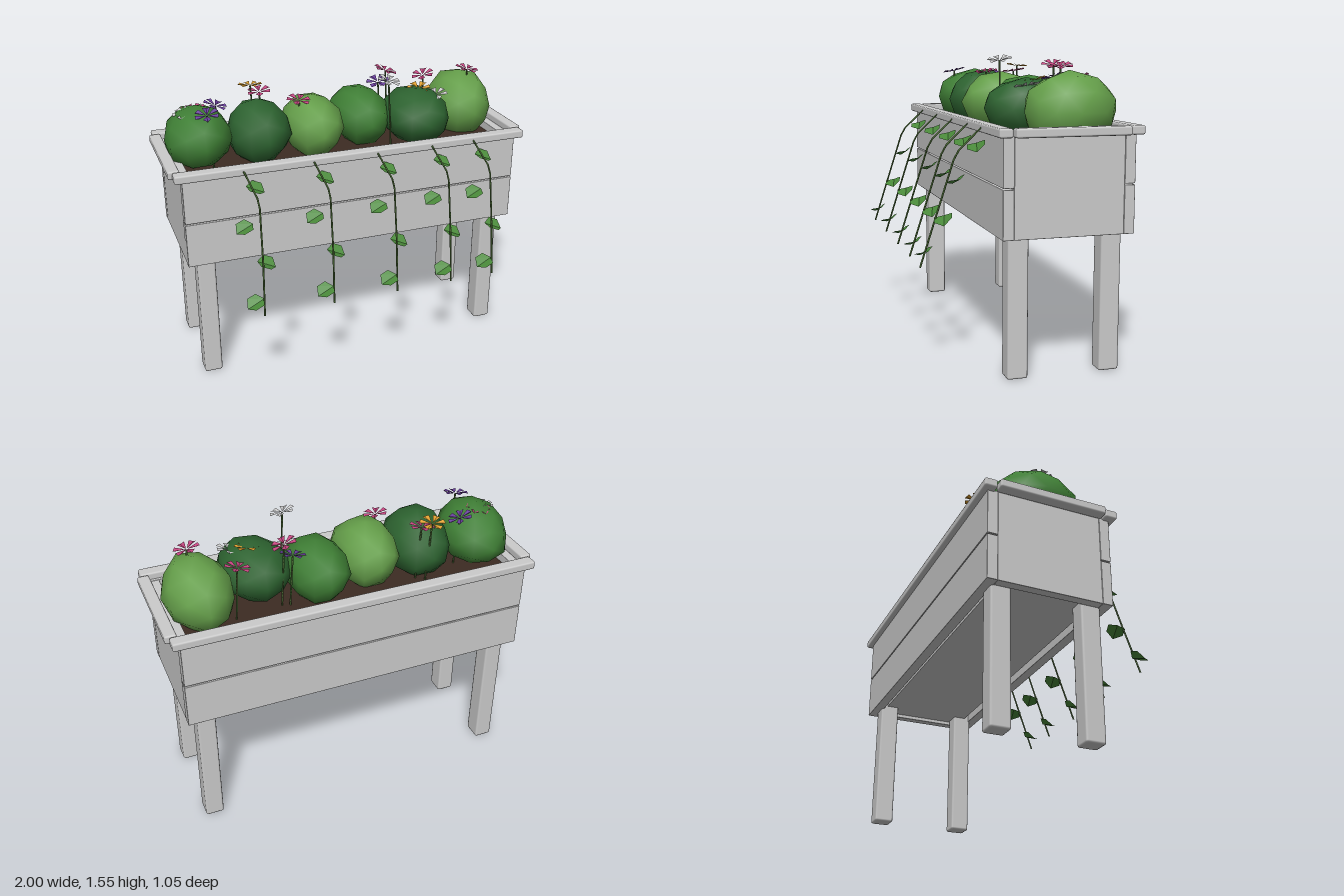
import * as THREE from 'three';
import { mergeVertices } from 'three/addons/utils/BufferGeometryUtils.js';
import { RoundedBoxGeometry } from 'three/addons/geometries/RoundedBoxGeometry.js';

const mat = (color, extra = {}) => new THREE.MeshStandardMaterial({ color, ...extra });
const leafMat = mat(0x4a8a3a, { side: THREE.DoubleSide, flatShading: true });
const grey = mat(0xcccccc);
const stemMat = mat(0x4b6b35);
const BED_Z = -0.168;

function add(parent, name, geometry, material, x = 0, y = 0, z = 0) {
  const mesh = new THREE.Mesh(geometry, material);
  mesh.name = name;
  mesh.position.set(x, y, z);
  parent.add(mesh);
  return mesh;
}

const bar = (w, h, d, r = 0.01) => new RoundedBoxGeometry(w, h, d, 1, r);

// Thin straight stem between successive points
function stemPath(points, radius) {
  const path = new THREE.CurvePath();
  for (let i = 1; i < points.length; i++) path.add(new THREE.LineCurve3(points[i - 1], points[i]));
  return new THREE.TubeGeometry(path, 16, radius, 5);
}

// Faceted ball with uneven vertices and smooth normals
function bushGeometry(seed) {
  let geo = new THREE.IcosahedronGeometry(1, 1);
  geo.deleteAttribute('normal');
  geo.deleteAttribute('uv');
  geo = mergeVertices(geo, 1e-3);
  const p = geo.attributes.position;
  for (let i = 0; i < p.count; i++) {
    const k = 1.01 + 0.05 * Math.sin(i * 12.9 + seed * 7.3);
    p.setXYZ(i, p.getX(i) * k, p.getY(i) * k, p.getZ(i) * k);
  }
  geo.computeVertexNormals();
  return geo;
}

// Six wedge petals, widening outwards and slightly raised at the tips
function flowerGeometry() {
  const v = [];
  const at = (r, a, y) => [r * Math.cos(a), y, r * Math.sin(a)];
  for (let i = 0; i < 6; i++) {
    const a = (i / 6) * Math.PI * 2;
    const root = at(0.004, a, 0), left = at(0.062, a - 0.34, 0.012);
    const tip = at(0.068, a, 0.004), right = at(0.062, a + 0.34, 0.012);
    v.push(...root, ...tip, ...left, ...root, ...right, ...tip);
  }
  const geo = new THREE.BufferGeometry();
  geo.setAttribute('position', new THREE.Float32BufferAttribute(v, 3));
  geo.computeVertexNormals();
  return geo;
}

// Five-cornered ivy leaf folded along its middle, growing along +x
function leafGeometry() {
  const mid = [[0, 0, 0], [0.1, -0.012, 0]];
  const v = [];
  for (const s of [1, -1]) {
    const a = [0.025, 0.012, 0.045 * s], b = [0.075, 0.008, 0.045 * s];
    const tris = [[mid[0], a, b], [mid[0], b, mid[1]]];
    for (const t of tris) v.push(...(s > 0 ? t : [t[0], t[2], t[1]]).flat());
  }
  const geo = new THREE.BufferGeometry();
  geo.setAttribute('position', new THREE.Float32BufferAttribute(v, 3));
  geo.computeVertexNormals();
  return geo;
}

function buildPlanter() {
  const planter = new THREE.Group();
  planter.name = 'planter';
  for (const s of [-1, 1]) {
    // Long walls of two boards each, with a narrow gap
    const z = BED_Z + s * 0.305;
    add(planter, 'lowerBoard', bar(1.88, 0.24, 0.055, 0.003), grey, 0, 0.82, z);
    add(planter, 'upperBoard', bar(1.88, 0.245, 0.055, 0.003), grey, 0, 1.0685, z);
    add(planter, 'endPanel', bar(0.05, 0.49, 0.555, 0.003), grey, s * 0.914, 0.945, BED_Z);
    // Rim rails
    add(planter, 'longRim', bar(1.96, 0.045, 0.068), grey, 0, 1.205, BED_Z + s * 0.328);
    add(planter, 'endRim', bar(0.062, 0.045, 0.575), grey, s * 0.969, 1.205, BED_Z);
    // Legs run up inside the corners
    for (const side of [-1, 1])
      add(planter, 'leg', bar(0.098, 1.12, 0.105, 0.012), grey, side * 0.838, 0.56, BED_Z + s * 0.238);
  }
  add(planter, 'floor', new THREE.BoxGeometry(1.78, 0.03, 0.51), grey, 0, 0.735, BED_Z);
  add(planter, 'soil', new THREE.BoxGeometry(1.77, 0.4, 0.475), mat(0x3d2b22), 0, 0.95, BED_Z - 0.005);
  return planter;
}

function buildVine(x) {
  const vine = new THREE.Group();
  vine.name = 'trailingVine';
  vine.position.x = x;
  const pts = [[0, 1.2, 0.08], [0, 1.21, 0.19], [0.04, 1.09, 0.33], [0.023, 0.8, 0.42], [0, 0.535, 0.5]]
    .map(p => new THREE.Vector3(...p));
  add(vine, 'vineStem', stemPath(pts, 0.005), stemMat);
  const leaf = leafGeometry();
  for (let i = 0; i < 4; i++) {
    const s = i % 2 ? -1 : 1;
    const m = add(vine, 'vineLeaf', leaf, leafMat, s > 0 ? 0.002 : 0.01, 1.135 - i * 0.174, 0.215 + i * 0.082);
    m.rotation.set(0.35, s > 0 ? -0.35 : Math.PI + 0.3, -0.15 * s);
    m.rotation.order = 'XZY';
  }
  return vine;
}

export function createModel() {
  const model = new THREE.Group();
  model.name = 'raisedFlowerBed';
  model.add(buildPlanter());

  // Bushes: x, top, z, half width, half depth, shade
  const greens = [0x3f7f35, 0x2d6330, 0x659f4a].map(c => mat(c));
  [
    [-0.78, 1.45, -0.185, 0.185, 0.235, 0],
    [-0.45, 1.46, -0.17, 0.172, 0.225, 1],
    [-0.15, 1.46, -0.17, 0.165, 0.23, 2],
    [0.15, 1.45, -0.23, 0.16, 0.23, 0],
    [0.445, 1.44, -0.11, 0.19, 0.23, 1],
    [0.77, 1.475, -0.22, 0.182, 0.235, 2],
  ].forEach(([x, top, z, rx, rz, shade], i) => {
    const bush = add(model, 'bush', bushGeometry(i), greens[shade], x, 1.285, z);
    bush.scale.set(rx, top - 1.285, rz);
  });

  // Flowers: x, y, z, colour, tilt about x, tilt about z
  const [pink, purple, white, orange] = [0xc2457f, 0x6a3f9c, 0xe6e6e6, 0xe0a030]
    .map(c => mat(c, { side: THREE.DoubleSide, flatShading: true }));
  const petals = flowerGeometry();
  [
    [-0.84, 1.425, -0.17, white, 0.1, 0.2],
    [-0.79, 1.43, -0.22, pink, -0.1, 0.1],
    [-0.75, 1.445, -0.04, purple, 0.2, 0.1],
    [-0.66, 1.42, -0.26, purple, 0.1, -0.3],
    [-0.44, 1.48, -0.355, orange, -0.1, 0],
    [-0.4, 1.45, -0.32, pink, 0.1, 0.1],
    [-0.24, 1.45, -0.1, pink, 0.15, -0.1],
    [0.3, 1.435, -0.31, purple, 0.2, 0.2],
    [0.34, 1.5, -0.3, pink, 0.1, -0.3],
    [0.25, 1.525, -0.03, white, 0.2, -0.2],
    [0.48, 1.425, -0.14, orange, 0.2, 0.1],
    [0.56, 1.4, -0.08, white, 0.1, 0.2],
    [0.59, 1.44, -0.33, pink, 0.1, 0.25],
    [0.79, 1.5, -0.165, pink, 0.1, -0.2],
  ].forEach(([x, y, z, color, tiltX, tiltZ], i) => {
    const flower = new THREE.Group();
    flower.name = 'flower';
    const head = add(flower, 'petals', petals, color, x, y, z);
    head.rotation.set(tiltX, i * 0.7, tiltZ, 'XZY');
    const foot = new THREE.Vector3(x + 0.02, 1.14, THREE.MathUtils.clamp(z, -0.36, 0.02));
    add(flower, 'flowerStem', stemPath([foot, new THREE.Vector3(x, y, z)], 0.005), stemMat);
    model.add(flower);
  });

  // Vines trailing over the front rim
  for (const x of [-0.628, -0.253, 0.103, 0.418, 0.667]) model.add(buildVine(x));
  return model;
}
